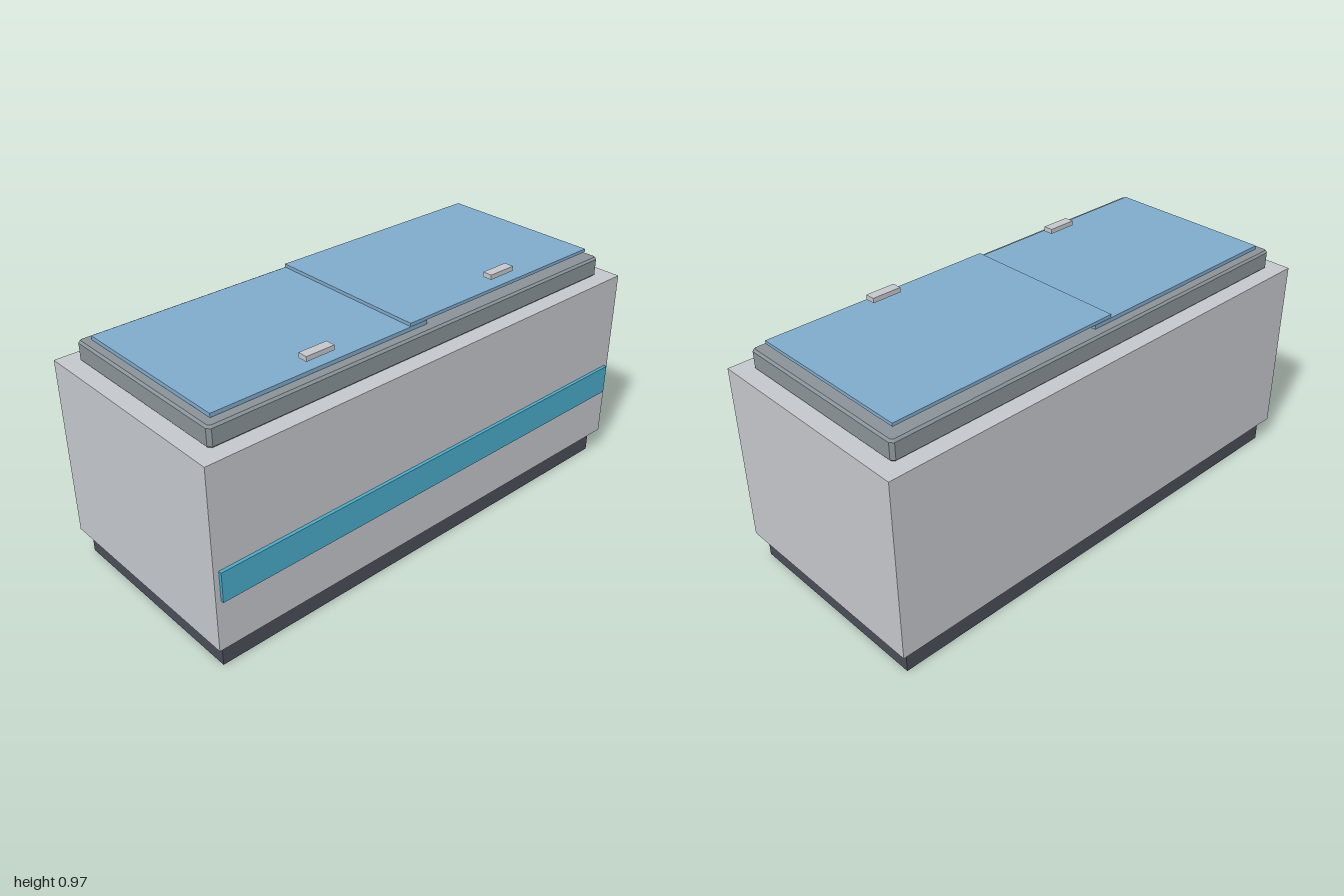
import * as THREE from 'three';

const mat = (name, color) => {
  const m = new THREE.MeshStandardMaterial({ color });
  m.name = name;
  return m;
};

export function createModel() {
  const group = new THREE.Group();
  const bodyGrey = mat('bodyGrey', 0xc4c7cc);
  const plinthDark = mat('plinthDark', 0x4a4e58);
  const frameGrey = mat('frameGrey', 0x8a9398);
  const lidBlue = mat('lidBlue', 0x80abcb);
  const stripeBlue = mat('stripeBlue', 0x4aabcb);

  // Box given by its lower and upper corners
  const box = (name, material, [x0, y0, z0], [x1, y1, z1]) => {
    const mesh = new THREE.Mesh(new THREE.BoxGeometry(x1 - x0, y1 - y0, z1 - z0), material);
    mesh.position.set((x0 + x1) / 2, (y0 + y1) / 2, (z0 + z1) / 2);
    mesh.name = name;
    group.add(mesh);
  };

  // Cabinet, plinth and front stripe
  box('plinth', plinthDark, [-0.97, 0, -0.417], [0.97, 0.1, 0.403]);
  box('cabinet', bodyGrey, [-1, 0.1, -0.445], [1, 0.82, 0.434]);
  box('frontStripe', stripeBlue, [-0.98, 0.302, 0.434], [0.98, 0.422, 0.447]);

  // Top frame: slab with every edge chamfered
  const c = 0.008, w = 0.937 - c, d = 0.379 - c, h = 0.08;
  const outline = new THREE.Shape([
    [-w + c, -d], [w - c, -d], [w, -d + c], [w, d - c],
    [w - c, d], [-w + c, d], [-w, d - c], [-w, -d + c],
  ].map(([x, y]) => new THREE.Vector2(x, y)));
  const frameGeometry = new THREE.ExtrudeGeometry(outline, {
    depth: h - 2 * c, bevelEnabled: true, bevelSize: c, bevelThickness: c, bevelSegments: 1,
  });
  frameGeometry.rotateX(-Math.PI / 2);
  const frame = new THREE.Mesh(frameGeometry, frameGrey);
  frame.position.set(0, 0.82 + c, -0.006);
  frame.name = 'topFrame';
  group.add(frame);

  // Overlapping sliding lids
  box('lowerLid', lidBlue, [-0.9, 0.902, -0.346], [0.02, 0.917, 0.333]);
  box('upperLid', lidBlue, [-0.06, 0.918, -0.346], [0.9, 0.931, 0.333]);

  // Lid handles
  box('lowerLidHandle', bodyGrey, [-0.5, 0.932, 0.265], [-0.38, 0.951, 0.304]);
  box('upperLidHandle', bodyGrey, [0.38, 0.948, 0.265], [0.5, 0.967, 0.304]);

  return group;
}
